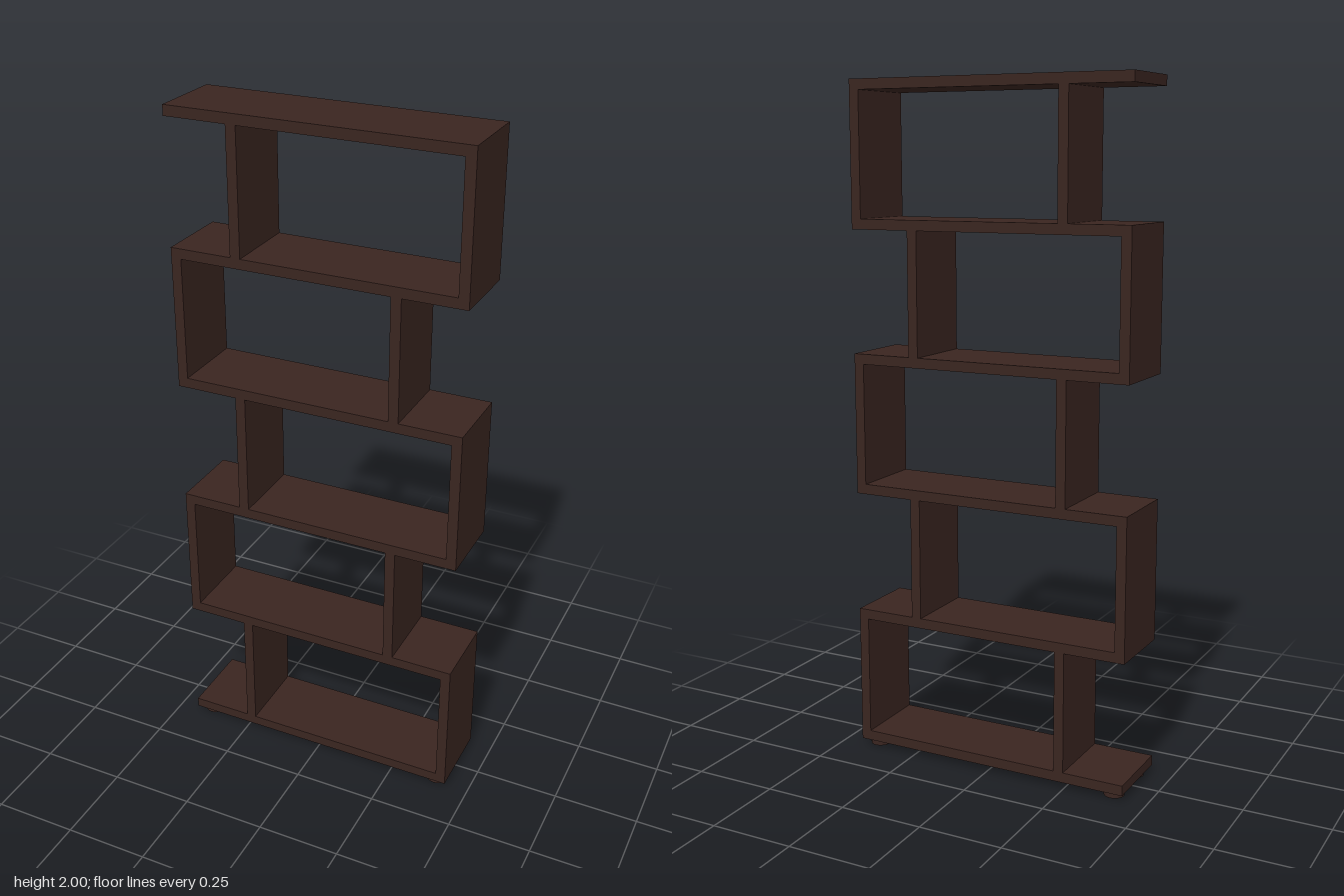
import * as THREE from 'three';

export function createModel() {
  const group = new THREE.Group();
  group.name = 'zigzagBookcase';
  const wood = new THREE.MeshStandardMaterial({ color: 0x3a2520 });

  const halfWidth = 0.433, depth = 0.23, board = 0.03;
  const footHeight = 0.02, tiers = 5;
  const pitch = (2 - footHeight - board) / tiers;

  const add = (name, geometry, x, y, z = 0) => {
    const mesh = new THREE.Mesh(geometry, wood);
    mesh.name = name;
    mesh.position.set(x, y, z);
    group.add(mesh);
  };

  // Full-width shelves
  const shelf = new THREE.BoxGeometry(halfWidth * 2, board, depth);
  for (let i = 0; i <= tiers; i++) {
    add('shelf', shelf, 0, footHeight + board / 2 + i * pitch);
  }

  // Each tier has a flush outer panel and an inset divider, swapping sides
  const upright = new THREE.BoxGeometry(board, pitch - board, depth);
  for (let i = 0; i < tiers; i++) {
    const side = i % 2 === 0 ? 1 : -1;
    const y = footHeight + board / 2 + (i + 0.5) * pitch;
    add('sidePanel', upright, side * (halfWidth - board / 2), y);
    add('divider', upright, -side * 0.234, y);
  }

  // Round feet under the corners
  const foot = new THREE.CylinderGeometry(0.03, 0.03, footHeight, 24);
  for (const x of [-0.392, 0.392]) {
    for (const z of [-0.073, 0.073]) add('foot', foot, x, footHeight / 2, z);
  }

  return group;
}
